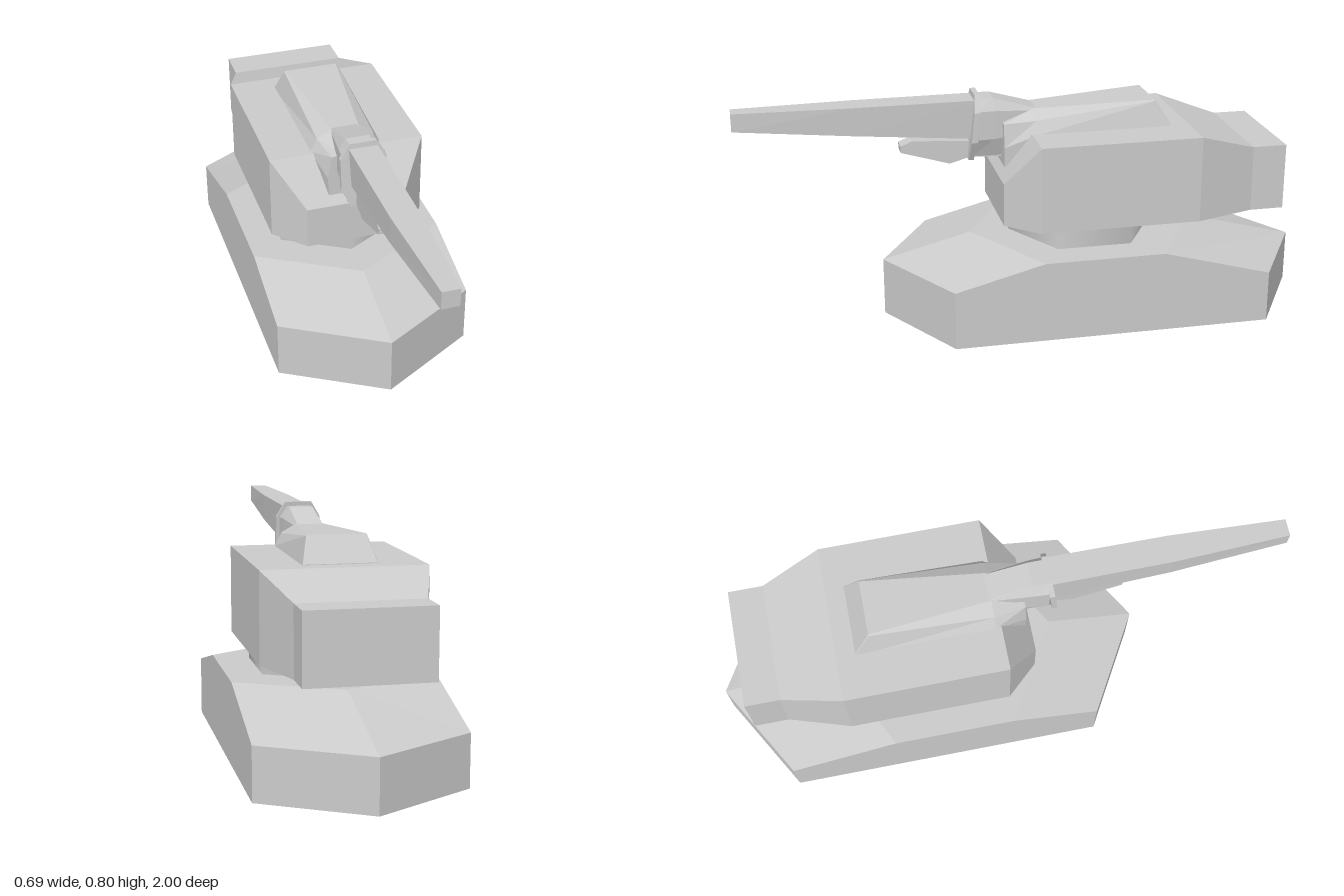
import * as THREE from 'three';

const flatMat = new THREE.MeshStandardMaterial({ color: 0xcccccc, flatShading: true, side: THREE.DoubleSide });
const smoothMat = new THREE.MeshStandardMaterial({ color: 0xcccccc, side: THREE.DoubleSide });

// Skins a list of point loops; open loops leave the underside uncovered
function loft(name, loops, { closed = true, caps = true } = {}) {
  const pos = [];
  const tri = (a, b, c) => pos.push(...a, ...b, ...c);
  const n = loops[0].length;
  for (let i = 0; i < loops.length - 1; i++) {
    for (let j = 0; j < (closed ? n : n - 1); j++) {
      const k = (j + 1) % n;
      const a = loops[i][j], b = loops[i][k], c = loops[i + 1][k], d = loops[i + 1][j];
      tri(a, d, c);
      tri(a, c, b);
    }
  }
  if (caps) {
    const first = loops[0], last = loops[loops.length - 1];
    for (let j = 1; j < n - 1; j++) {
      tri(first[0], first[j], first[j + 1]);
      tri(last[0], last[j + 1], last[j]);
    }
  }
  const geo = new THREE.BufferGeometry();
  geo.setAttribute('position', new THREE.Float32BufferAttribute(pos, 3));
  geo.computeVertexNormals();
  const mesh = new THREE.Mesh(geo, flatMat);
  mesh.name = name;
  return mesh;
}

// Mirrors a half section, listed from top to bottom as [x, y, z offset], across x = 0
const section = (z, half) => {
  const right = half.map(([x, y, dz = 0]) => [x, y, z + dz]);
  return [...right, ...right.map(([x, y, w]) => [-x, y, w]).reverse()];
};

// Six-cornered ring with its points on the z axis
const hexRing = (w, yFront, yBack, tipFront, sideFront, sideBack, tipBack) => [
  [0, yFront, tipFront], [w, yFront, sideFront], [w, yBack, sideBack],
  [0, yBack, tipBack], [-w, yBack, sideBack], [-w, yFront, sideFront],
];

export function createModel() {
  const model = new THREE.Group();

  // Hollow hull with a hexagonal opening under the turret
  model.add(loft('hull', [
    hexRing(0.225, 0.285, 0.285, 0.06, -0.07, -0.33, -0.46),
    hexRing(0.343, 0.285, 0.285, 0.2, 0, -0.42, -0.6),
    hexRing(0.343, 0.205, 0.18, 0.51, 0.31, -0.8, -1),
    hexRing(0.343, 0, 0, 0.51, 0.31, -0.8, -1),
  ], { caps: false }));

  // Six-sided, smooth-shaded turret ring
  const ring = new THREE.Mesh(new THREE.CylinderGeometry(0.26, 0.26, 0.235, 6, 1, true), smoothMat);
  ring.name = 'turretRing';
  ring.position.set(0, 0.4025, -0.2);
  model.add(ring);

  // Turret shell, open below: [z, half width, roof height]
  const shell = [
    [-0.89, 0.208, 0.6], [-0.77, 0.208, 0.6], [-0.56, 0.275, 0.67], [0, 0.275, 0.67], [0.11, 0.175, 0.517],
  ].map(([z, w, y]) => section(z, [[w, y], [w, 0.367]]).map((p, i, s) => s[(i + 2) % 4]));
  // loops run from lower left over the roof to lower right
  model.add(loft('turret', shell, { closed: false }));

  // Raised gun housing on the turret roof
  model.add(loft('gunHousing', [
    section(-0.495, [[0.122, 0.672], [0.123, 0.671], [0.125, 0.668], [0.125, 0.62]]),
    section(-0.44, [[0.095, 0.76], [0.1, 0.757], [0.125, 0.668], [0.125, 0.62]]),
    section(-0.02, [[0.05, 0.742], [0.1, 0.712], [0.125, 0.668], [0.12, 0.62]]),
    section(0.09, [[0.04, 0.705], [0.08, 0.7], [0.095, 0.62], [0.09, 0.55]]),
  ]));

  // Neck between housing and collar
  model.add(loft('gunNeck', [
    section(-0.03, [[0.045, 0.742], [0.05, 0.735], [0.05, 0.66], [0.04, 0.62]]),
    section(0.12, [[0.042, 0.785], [0.065, 0.745], [0.065, 0.645], [0.042, 0.58, -0.02]]),
    section(0.175, [[0.042, 0.785], [0.068, 0.745], [0.068, 0.645], [0.042, 0.58, 0.02]]),
  ]));

  // Thin collar, leaning back towards the top
  const collar = [[0.047, 0.8], [0.08, 0.745, 0.006], [0.08, 0.64, 0.017], [0.05, 0.57, 0.024]];
  model.add(loft('collar', [section(0.166, collar), section(0.184, collar)]));

  // Long tapering barrel
  model.add(loft('barrel', [
    section(0.17, [[0.05, 0.782], [0.045, 0.643]]),
    section(0.6, [[0.048, 0.781], [0.045, 0.682]]),
    section(1, [[0.03, 0.78], [0.03, 0.718]]),
  ]));

  // Small lower gun, extruded across its width
  const outline = new THREE.Shape([
    [0.08, 0.625], [0.4, 0.645], [0.44, 0.628], [0.44, 0.606], [0.27, 0.555], [0.2, 0.575], [0.08, 0.57],
  ].map(([z, y]) => new THREE.Vector2(z, y)));
  const lowerGeo = new THREE.ExtrudeGeometry(outline, { depth: 0.058, bevelEnabled: false });
  lowerGeo.translate(0, 0, -0.029).rotateY(-Math.PI / 2);
  const lowerGun = new THREE.Mesh(lowerGeo, flatMat);
  lowerGun.name = 'lowerGun';
  model.add(lowerGun);

  return model;
}
